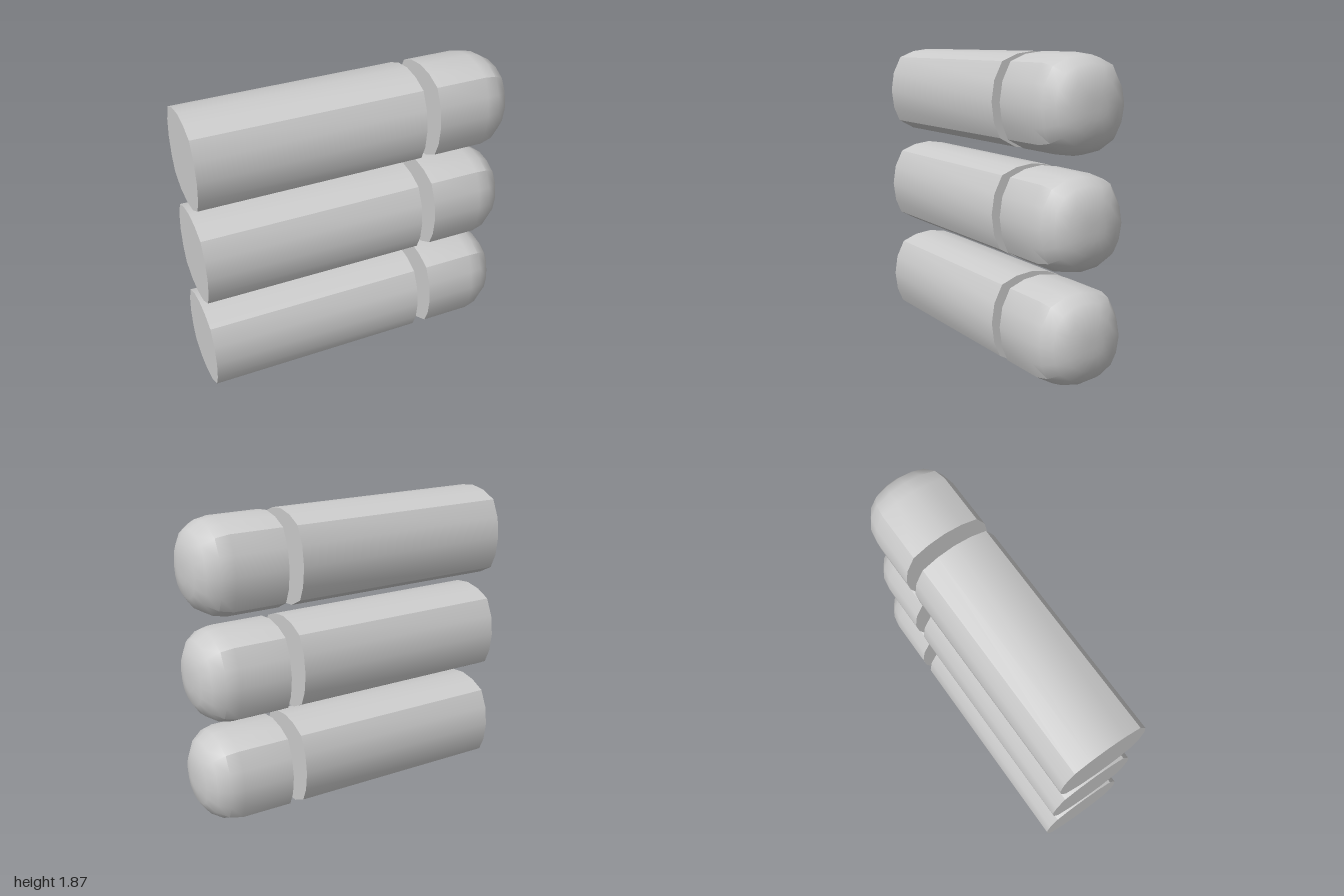
import * as THREE from 'three';
import { toCreasedNormals } from 'three/addons/utils/BufferGeometryUtils.js';

// Half of the pillowed-square cross-section, top to bottom: [z, y]
const half = [[0, 0.282], [0.11, 0.267], [0.21, 0.226], [0.262, 0.12], [0.28, 0],
  [0.264, -0.12], [0.225, -0.21], [0.12, -0.266], [0, -0.282]];
const section = [...half, ...half.slice(1, -1).reverse().map(([z, y]) => [-z, y])];

// Lofts the section along x; each station is [x, scale, roundness], closed at both ends
function loft(stations) {
  const n = section.length, pos = [], idx = [];
  for (const [x, scale, round] of stations) {
    for (const [z, y] of section) {
      const k = scale * (1 + round * (0.281 / Math.hypot(z, y) - 1));
      pos.push(x, y * k, z * k);
    }
  }
  const last = stations.length - 1;
  for (let s = 0; s < last; s++) {
    for (let i = 0; i < n; i++) {
      const j = (i + 1) % n, a = s * n, b = a + n;
      idx.push(a + i, a + j, b + j, a + i, b + j, b + i);
    }
  }
  // End faces as fans around a centre point
  const start = pos.length / 3, end = start + 1;
  pos.push(stations[0][0], 0, 0, stations[last][0], 0, 0);
  for (let i = 0; i < n; i++) {
    const j = (i + 1) % n;
    idx.push(start, j, i, end, last * n + i, last * n + j);
  }
  const g = new THREE.BufferGeometry();
  g.setAttribute('position', new THREE.Float32BufferAttribute(pos, 3));
  g.setIndex(idx);
  return toCreasedNormals(g, 0.6);
}

export function createModel() {
  const model = new THREE.Group();
  model.name = 'stackedRods';
  const grey = new THREE.MeshStandardMaterial({ color: 0xcccccc });
  grey.name = 'light grey';

  const bodyGeo = loft([[-1, 1, 0], [0.38, 1, 0]]);
  const tipGeo = loft([[0.47, 1, 0], [0.79, 1, 0], [0.87, 0.95, 0.2], [0.94, 0.8, 0.5],
    [0.983, 0.56, 0.6], [0.998, 0.26, 0.6], [1, 0.1, 0.6]]);

  // Three identical rods, each a long body and a separate rounded tip
  [0.282, 0.934, 1.586].forEach((y, i) => {
    const rod = new THREE.Group();
    rod.name = 'rod' + (i + 1);
    rod.position.y = y;
    const body = new THREE.Mesh(bodyGeo, grey);
    body.name = 'rodBody';
    const tip = new THREE.Mesh(tipGeo, grey);
    tip.name = 'roundedTip';
    rod.add(body, tip);
    model.add(rod);
  });
  return model;
}
